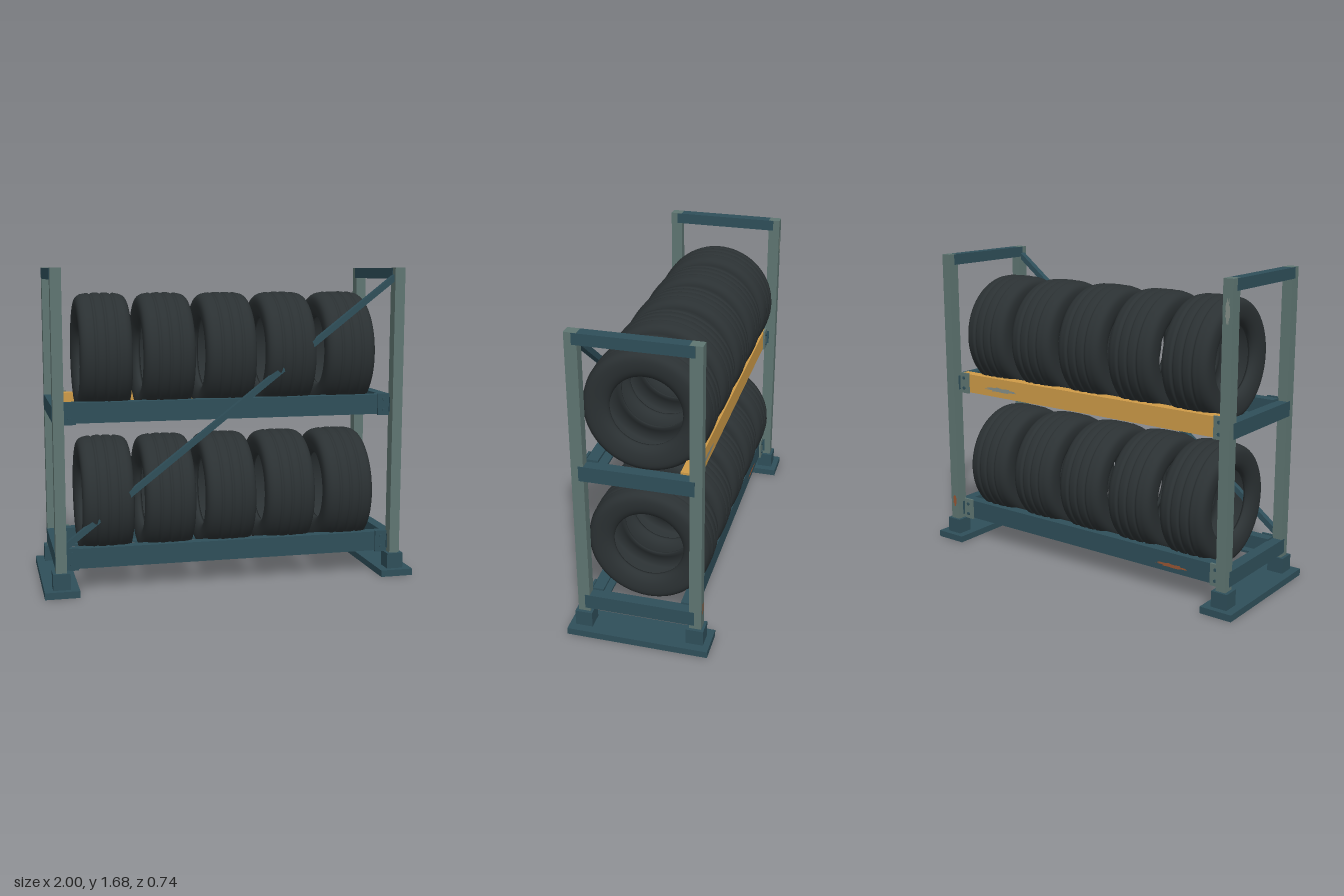
import * as THREE from 'three';

const mat = (color) => new THREE.MeshStandardMaterial({ color });
const teal = mat(0x2f4f5a), steel = mat(0x5f7672), rubber = mat(0x2b3133);
const amber = mat(0xd09c48), rust = mat(0x9a5634), scuff = mat(0x87918a);
rubber.side = THREE.DoubleSide;

export function createModel() {
  const rack = new THREE.Group();
  rack.name = 'tyreRack';

  const add = (name, geometry, material, x, y, z) => {
    const m = new THREE.Mesh(geometry, material);
    m.name = name;
    m.position.set(x, y, z);
    rack.add(m);
    return m;
  };
  const box = (name, material, w, h, d, x, y, z) =>
    add(name, new THREE.BoxGeometry(w, h, d), material, x, y, z);

  // End frames: foot plates, sockets, posts and cross rails
  for (const sx of [-1, 1]) {
    box('footPlate', teal, 0.18, 0.036, 0.74, sx * 0.91, 0.018, 0);
    for (const sz of [-1, 1]) {
      box('postSocket', teal, 0.09, 0.085, 0.09, sx * 0.91, 0.078, sz * 0.293);
      box('post', steel, 0.056, 1.595, 0.062, sx * 0.91, 0.8775, sz * 0.293);
    }
    for (const [y, h] of [[0.18, 0.08], [0.94, 0.08], [1.645, 0.058]])
      box('crossRail', teal, 0.06, h, 0.576, sx * 0.91, y, 0);
  }

  // Long beams: C channels with the open side facing inward
  const channel = new THREE.Shape();
  const H = 0.053, D = 0.06, T = 0.012;
  [[0, -H], [D, -H], [D, H], [0, H], [0, H - T], [D - T, H - T], [D - T, T - H], [0, T - H]]
    .forEach(([a, b], i) => (i ? channel.lineTo(a, b) : channel.moveTo(a, b)));
  channel.closePath();
  const beamGeo = new THREE.ExtrudeGeometry(channel, { depth: 1.77, bevelEnabled: false });
  beamGeo.translate(0, 0, -0.885);
  const boltGeo = new THREE.CylinderGeometry(0.009, 0.009, 0.008, 12).rotateX(Math.PI / 2);
  for (const y of [0.177, 0.94]) {
    for (const sz of [-1, 1]) {
      const beam = add('longBeam', beamGeo, sz < 0 && y > 0.5 ? amber : teal, 0, y, sz * 0.205);
      beam.rotation.y = -sz * Math.PI / 2;
      for (const sx of [-1, 1]) {
        box('beamConnector', sz < 0 ? steel : teal, 0.065, 0.118, 0.012, sx * 0.85, y, sz * 0.269);
        for (const dy of [-0.03, 0.03])
          add('connectorBolt', boltGeo, teal, sx * 0.85, y + dy, sz * 0.277);
      }
    }
  }

  // Diagonal brace across the front
  const dx = 1.79, dy = 1.385;
  const brace = box('diagonalBrace', teal, Math.hypot(dx, dy), 0.03, 0.034, 0, 0.937, 0.292);
  brace.rotation.z = Math.atan2(dy, dx);

  // Tyre section (radius, width): bead, sidewall, grooved tread, far sidewall
  const side = [[0.183, 0.095], [0.19, 0.112], [0.215, 0.128], [0.25, 0.135], [0.283, 0.134],
    [0.303, 0.124], [0.315, 0.106], [0.319, 0.088]];
  const outer = side.map(([r, w]) => [r, -w]);
  for (const g of [-0.055, 0, 0.055]) {
    const top = 0.3245 - Math.abs(g) * 0.03;
    outer.push([top, g - 0.013], [top - 0.006, g - 0.004], [top - 0.006, g + 0.004], [top, g + 0.013]);
  }
  outer.push(...side.slice().reverse());
  const vecs = (pts) => pts.map(([r, w]) => new THREE.Vector2(r, w));
  const profile = new THREE.SplineCurve(vecs(outer)).getPoints(70);
  // Hollow liner back to the first bead
  profile.push(...vecs([[0.186, 0.084], [0.21, 0.1], [0.25, 0.117], [0.285, 0.108], [0.3, 0.075],
    [0.304, 0], [0.3, -0.075], [0.285, -0.108], [0.25, -0.117], [0.21, -0.1], [0.186, -0.084],
    [0.183, -0.095]]));
  const tyreGeo = new THREE.LatheGeometry(profile, 72).rotateZ(-Math.PI / 2);
  for (const y of [0.457, 1.221])
    for (let i = -2; i <= 2; i++) add('tyre', tyreGeo, rubber, i * 0.3275, y, 0);

  // Worn paint: thin irregular patches
  const patch = (name, material, w, h, x, y, z, turn) => {
    const s = new THREE.Shape();
    for (let i = 0; i < 18; i++) {
      const a = (i / 18) * Math.PI * 2, r = 0.8 + 0.2 * Math.sin(i * 2.7);
      const px = Math.cos(a) * r * w / 2, py = Math.sin(a) * r * h / 2;
      i ? s.lineTo(px, py) : s.moveTo(px, py);
    }
    add(name, new THREE.ShapeGeometry(s), material, x, y, z).rotation.y = turn;
  };
  patch('rustPatch', rust, 0.22, 0.025, -0.58, 0.16, -0.2665, Math.PI);
  patch('rustPatch', rust, 0.03, 0.09, 0.91, 0.23, -0.3255, Math.PI);
  patch('scuffPatch', scuff, 0.26, 0.03, 0.58, 0.93, -0.2665, Math.PI);
  patch('scuffPatch', scuff, 0.03, 0.15, -0.91, 1.52, -0.3255, Math.PI);

  return rack;
}
